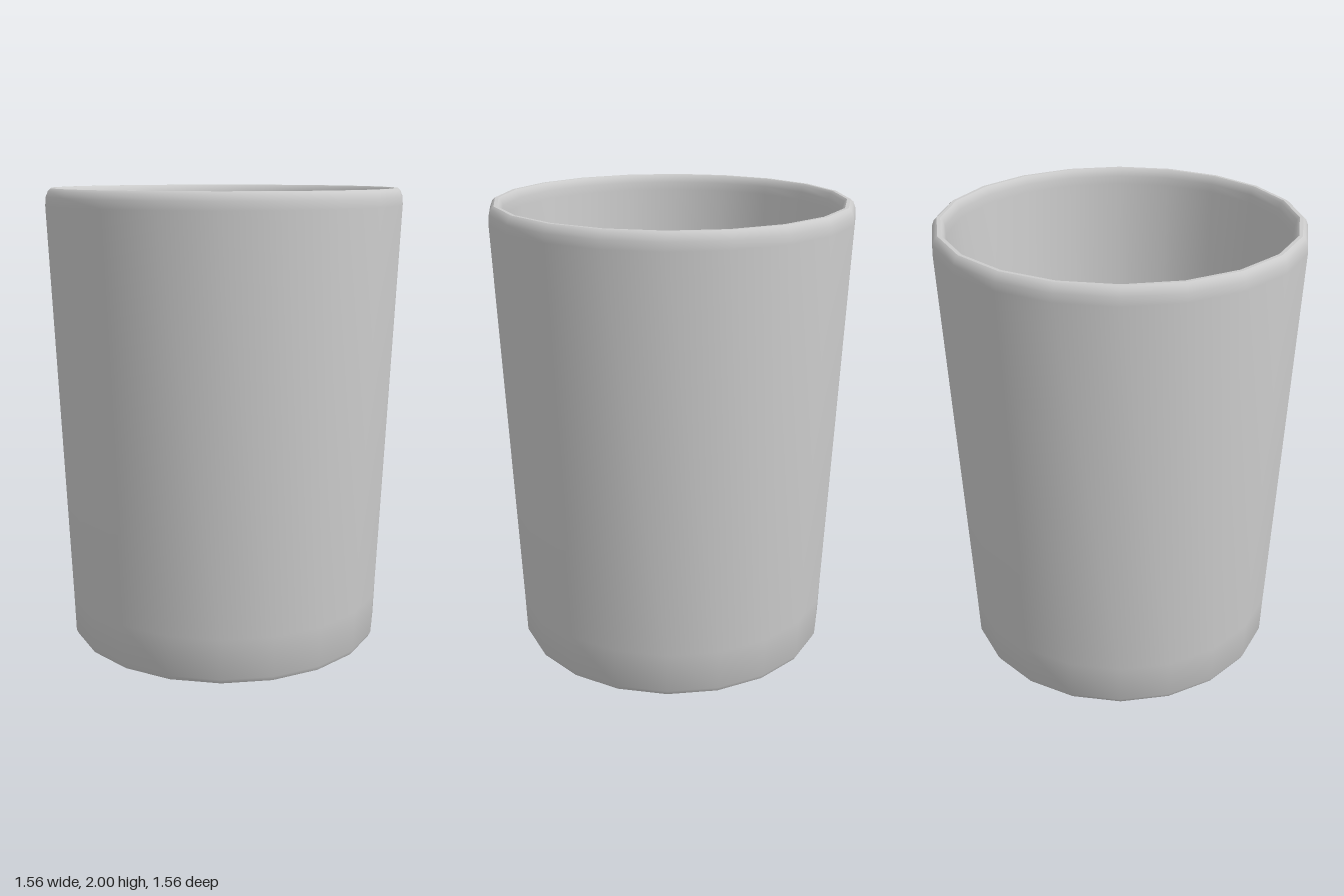
import * as THREE from 'three';
import { toCreasedNormals } from 'three/addons/utils/BufferGeometryUtils.js';

const SIDES = 20;

// Turn a [radius, height] profile around the y axis
function turned(name, profile, flat = false) {
  const points = profile.map(([r, y]) => new THREE.Vector2(r, y));
  const geometry = new THREE.LatheGeometry(points, SIDES);
  const material = new THREE.MeshStandardMaterial({ color: 0xcccccc, flatShading: flat });
  const mesh = new THREE.Mesh(flat ? geometry : toCreasedNormals(geometry, 0.65), material);
  mesh.name = name;
  return mesh;
}

export function createModel() {
  const cup = new THREE.Group();
  cup.name = 'cup';

  // Foot ring, tapered wall, rounded rim, inner wall and inside floor
  cup.add(turned('cupBody', [
    [0.575, 0], [0.695, 0], [0.705, 0.02], [0.711, 0.2],
    [0.78, 1.93], [0.777, 1.965], [0.767, 1.99], [0.755, 2],
    [0.74, 2], [0.729, 1.99], [0.722, 1.965], [0.718, 1.93],
    [0.65, 0.2], [0, 0.2],
  ]));

  // Shallow faceted recess under the base
  cup.add(turned('baseRecess', [[0, 0.1], [0.575, 0.1], [0.575, 0]], true));

  return cup;
}
